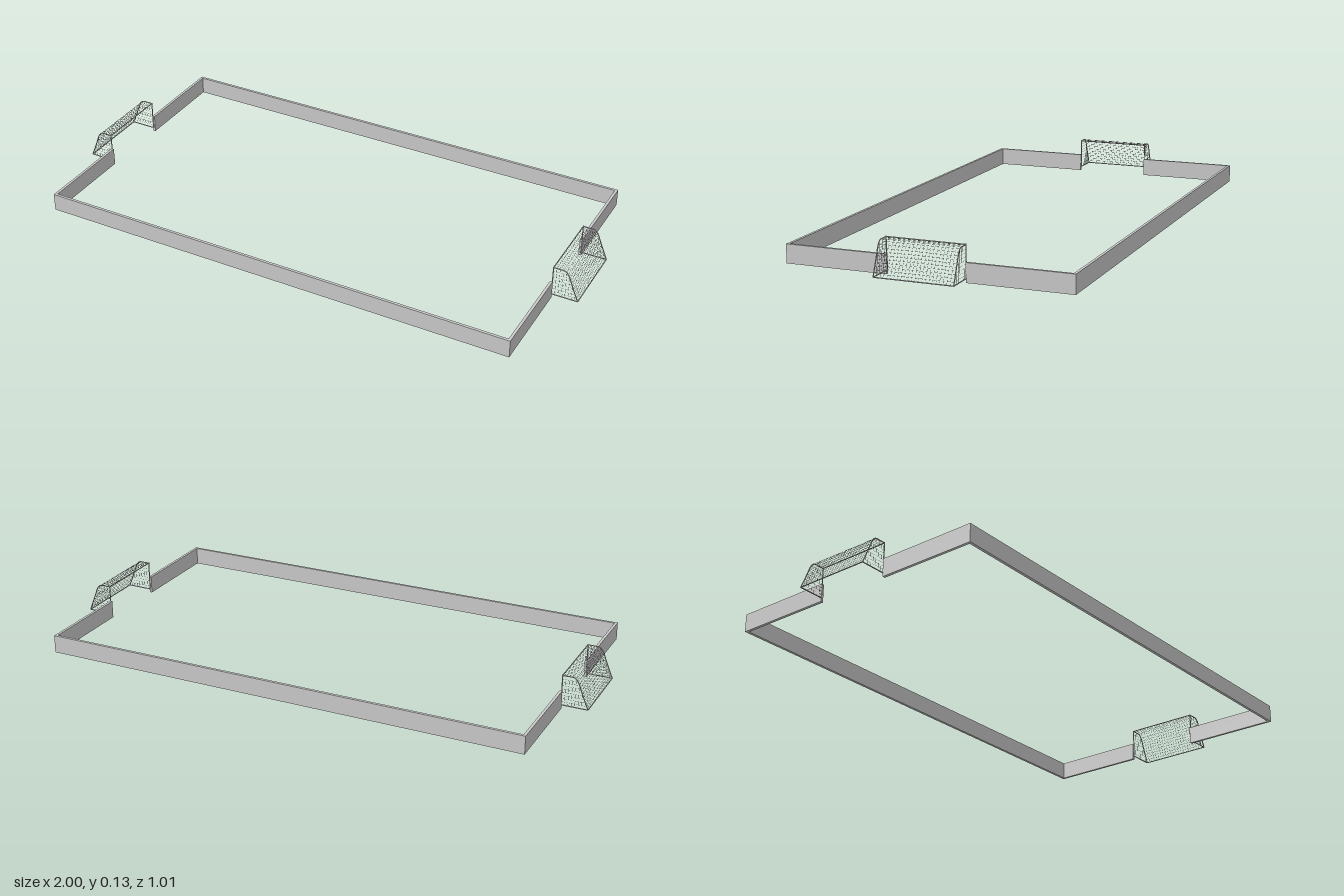
import * as THREE from 'three';
import { mergeGeometries } from 'three/addons/utils/BufferGeometryUtils.js';

const material = new THREE.MeshStandardMaterial({ color: 0xcccccc, side: THREE.DoubleSide });
const HALF_X = 0.905, HALF_Z = 0.505, WALL_H = 0.066, WALL_T = 0.01;
const GOAL_Z = 0.139, GOAL_BASE = 0.014, GOAL_TOP = 0.124, FRAME_R = 0.002;
const THREAD_R = 0.0004, PITCH = 0.012;

function mesh(name, geometry) {
  const m = new THREE.Mesh(geometry, material);
  m.name = name;
  return m;
}

// Straight round bar between two points
function bar(a, b, radius, sides) {
  return new THREE.TubeGeometry(new THREE.LineCurve3(a, b), 1, radius, sides, false);
}

// Bar bent through a list of points
function bentBar(points, radius, sides) {
  const path = new THREE.CurvePath();
  for (let i = 1; i < points.length; i++) path.add(new THREE.LineCurve3(points[i - 1], points[i]));
  return new THREE.TubeGeometry(path, 28, radius, sides, false);
}

// Side outline of the goal: flat roof, rounded shoulder, sloping back
function goalProfile() {
  const p = new THREE.Path();
  p.moveTo(0, GOAL_TOP);
  p.lineTo(0.036, GOAL_TOP);
  p.quadraticCurveTo(0.05, GOAL_TOP, 0.06, 0.1);
  p.quadraticCurveTo(0.075, 0.06, 0.095, GOAL_BASE);
  return p.getPoints(8);
}

// Linear lookup along the outline: value of 'to' where 'from' reaches v
function lookup(points, from, to, v) {
  for (let i = 1; i < points.length; i++) {
    const a = points[i - 1], b = points[i];
    if (a[from] !== b[from] && (v - a[from]) * (v - b[from]) <= 0) {
      return a[to] + (b[to] - a[to]) * (v - a[from]) / (b[from] - a[from]);
    }
  }
  return points[points.length - 1][to];
}

function createGoal(name) {
  const goal = new THREE.Group();
  goal.name = name;
  const profile = goalProfile();
  const V = (x, y, z) => new THREE.Vector3(x, y, z);
  const back = profile[profile.length - 1].x;

  // Frame: posts, bent side bars, ground rails, crossbar and rear rail
  const frame = [];
  for (const z of [-GOAL_Z, GOAL_Z]) {
    frame.push(bar(V(0, GOAL_BASE - FRAME_R, z), V(0, GOAL_TOP + FRAME_R, z), FRAME_R, 8));
    frame.push(bentBar(profile.map((p) => V(p.x, p.y, z)), FRAME_R, 8));
    frame.push(bar(V(0, GOAL_BASE, z), V(back, GOAL_BASE, z), FRAME_R, 8));
  }
  frame.push(bar(V(0, GOAL_TOP, -GOAL_Z), V(0, GOAL_TOP, GOAL_Z), FRAME_R, 8));
  frame.push(bar(V(back, GOAL_BASE, -GOAL_Z), V(back, GOAL_BASE, GOAL_Z), FRAME_R, 8));
  goal.add(mesh('goalFrame', mergeGeometries(frame)));

  // Roof and back net: threads down the outline and across the goal
  const net = [];
  const columns = Math.round(2 * GOAL_Z / PITCH);
  for (let i = 1; i < columns; i++) {
    const z = -GOAL_Z + 2 * GOAL_Z * i / columns;
    net.push(bentBar(profile.map((p) => V(p.x, p.y, z)), THREAD_R, 4));
  }
  const outline = new THREE.CurvePath();
  for (let i = 1; i < profile.length; i++) outline.add(new THREE.LineCurve(profile[i - 1], profile[i]));
  const rows = Math.round(outline.getLength() / PITCH);
  for (let i = 1; i < rows; i++) {
    const p = outline.getPointAt(i / rows);
    net.push(bar(V(p.x, p.y, -GOAL_Z), V(p.x, p.y, GOAL_Z), THREAD_R, 4));
  }

  // Side nets
  for (const z of [-GOAL_Z, GOAL_Z]) {
    for (let y = GOAL_BASE + PITCH; y < GOAL_TOP - 0.004; y += PITCH) {
      net.push(bar(V(0, y, z), V(lookup(profile, 'y', 'x', y), y, z), THREAD_R, 4));
    }
    for (let x = PITCH; x < back - 0.004; x += PITCH) {
      net.push(bar(V(x, GOAL_BASE, z), V(x, lookup(profile, 'x', 'y', x), z), THREAD_R, 4));
    }
  }
  goal.add(mesh('goalNet', mergeGeometries(net)));
  return goal;
}

export function createModel() {
  const model = new THREE.Group();
  model.name = 'pitchWithGoals';

  // Long side walls
  for (const s of [1, -1]) {
    const wall = mesh(s > 0 ? 'frontWall' : 'backWall', new THREE.BoxGeometry(2 * HALF_X, WALL_H, WALL_T));
    wall.position.set(0, WALL_H / 2, s * (HALF_Z - WALL_T / 2));
    model.add(wall);
  }

  // Short end walls, with an opening for each goal
  const length = HALF_Z - WALL_T - GOAL_Z;
  for (const sx of [1, -1]) {
    for (const sz of [1, -1]) {
      const wall = mesh(sx > 0 ? 'leftEndWall' : 'rightEndWall', new THREE.BoxGeometry(WALL_T, WALL_H, length));
      wall.position.set(sx * (HALF_X - WALL_T / 2), WALL_H / 2, sz * (GOAL_Z + length / 2));
      model.add(wall);
    }
    const goal = createGoal(sx > 0 ? 'leftGoal' : 'rightGoal');
    goal.position.x = sx * 0.903;
    if (sx < 0) goal.rotation.y = Math.PI;
    model.add(goal);
  }
  return model;
}
